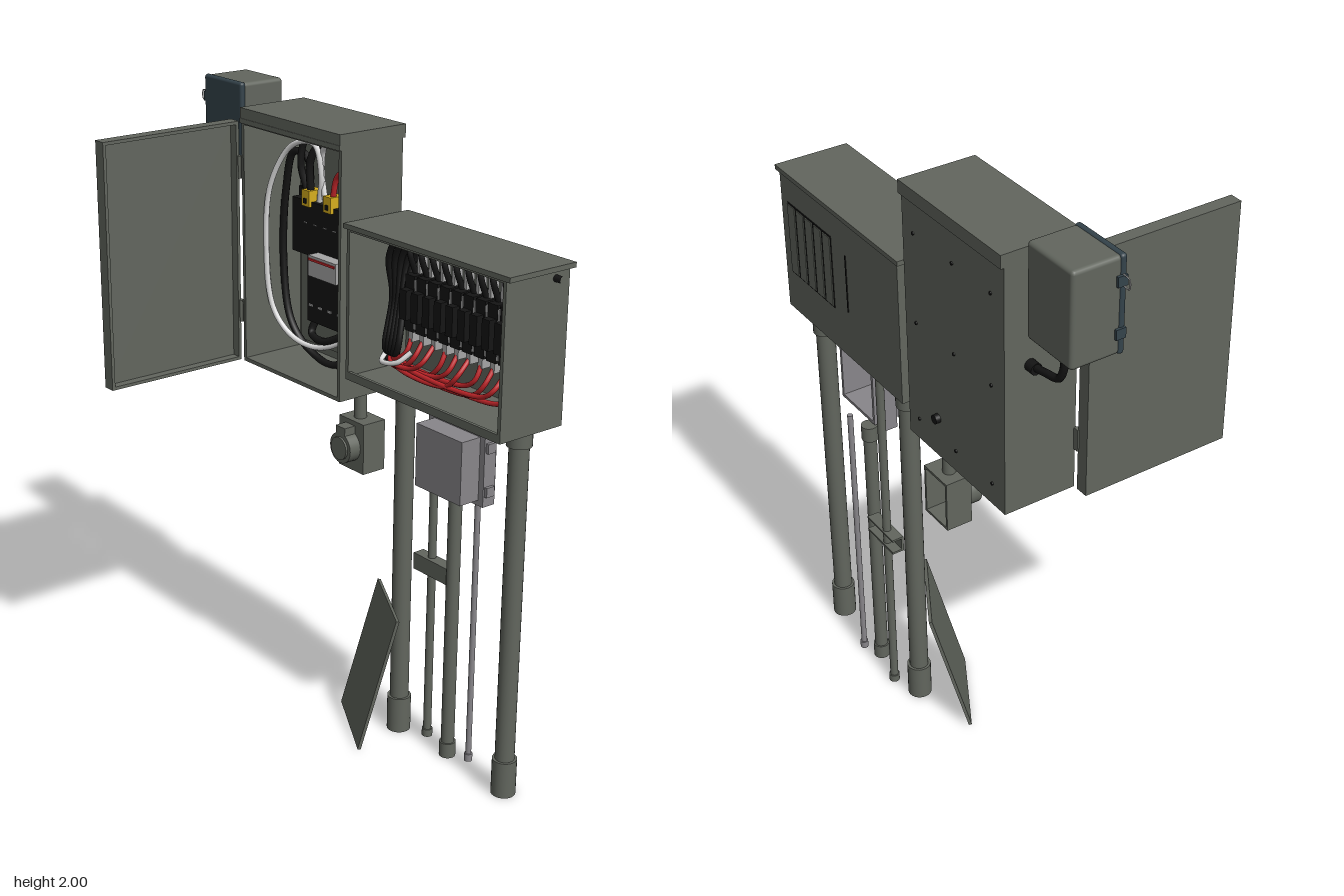
import * as THREE from 'three';
import { RoundedBoxGeometry } from 'three/addons/geometries/RoundedBoxGeometry.js';

const mat = (name, color) => {
  const m = new THREE.MeshStandardMaterial({ color });
  m.name = name;
  return m;
};

export function createModel() {
  const model = new THREE.Group();
  model.name = 'electricalCabinets';
  const steel = mat('paintedSteel', 0x62665e);
  const plastic = mat('greyPlastic', 0x88868a);
  const blue = mat('blueGreyCover', 0x34434b);
  const black = mat('black', 0x151515);
  const white = mat('whiteWire', 0xe2e2e2);
  const red = mat('redWire', 0xc4262a);
  const yellow = mat('yellowTerminal', 0xd6ae1e);
  const silver = mat('silver', 0xa6a6a6);

  const add = (name, geo, m, x = 0, y = 0, z = 0, parent = model) => {
    const mesh = new THREE.Mesh(geo, m);
    mesh.name = name;
    mesh.position.set(x, y, z);
    parent.add(mesh);
    return mesh;
  };
  // box given by its limits on each axis
  const box = (name, m, x0, x1, y0, y1, z0, z1, parent = model) =>
    add(name, new THREE.BoxGeometry(x1 - x0, y1 - y0, z1 - z0), m,
      (x0 + x1) / 2, (y0 + y1) / 2, (z0 + z1) / 2, parent);
  // upright cylinder from y0 to y1
  const pipe = (name, m, x, z, r, y0, y1, seg = 24, parent = model) =>
    add(name, new THREE.CylinderGeometry(r, r, y1 - y0, seg), m, x, (y0 + y1) / 2, z, parent);
  // cylinder lying along z
  const disc = (name, m, x, y, z0, z1, r, parent = model) => {
    const d = add(name, new THREE.CylinderGeometry(r, r, z1 - z0, 24), m, x, y, (z0 + z1) / 2, parent);
    d.rotation.x = Math.PI / 2;
    return d;
  };
  const wire = (name, m, pts, r = 0.009, parent = model) => {
    const curve = new THREE.CatmullRomCurve3(pts.map(p => new THREE.Vector3(...p)));
    return add(name, new THREE.TubeGeometry(curve, pts.length * 8, r, 8), m, 0, 0, 0, parent);
  };
  // five-sided enclosure; open at the front or at the back
  const tray = (name, m, x0, x1, y0, y1, z0, z1, t, openFront) => {
    const g = new THREE.Group();
    g.name = name;
    model.add(g);
    if (openFront) box('backWall', m, x0, x1, y0, y1, z0, z0 + t, g);
    else box('frontWall', m, x0, x1, y0, y1, z1 - t, z1, g);
    box('bottomWall', m, x0, x1, y0, y0 + t, z0, z1, g);
    box('topWall', m, x0, x1, y1 - t, y1, z0, z1, g);
    box('sideWall', m, x0, x0 + t, y0, y1, z0, z1, g);
    box('sideWall', m, x1 - t, x1, y0, y1, z0, z1, g);
    return g;
  };

  // ---- Left cabinet with rain cap ----
  const left = tray('leftCabinet', steel, -0.46, 0.025, 1.13, 1.9, -0.35, -0.12, 0.012, true);
  box('cap', steel, -0.46, 0.025, 1.9, 1.94, -0.36, -0.115, left);
  box('capLip', steel, -0.46, 0.025, 1.893, 1.908, -0.122, -0.113, left);
  box('mountingPlate', steel, -0.43, -0.005, 1.17, 1.87, -0.338, -0.328, left);
  for (const x of [-0.4, -0.22, -0.03])
    for (const y of [1.2, 1.52, 1.8]) disc('backScrew', black, x, y, -0.354, -0.348, 0.005, left);
  disc('knockout', black, -0.13, 1.26, -0.365, -0.348, 0.014, left);

  // ---- Open door, a shallow pan ----
  const door = new THREE.Group();
  door.name = 'door';
  model.add(door);
  box('doorPanel', steel, -0.515, -0.503, 1.13, 1.895, -0.12, 0.365, door);
  box('doorRim', steel, -0.515, -0.474, 1.13, 1.14, -0.12, 0.365, door);
  box('doorRim', steel, -0.515, -0.474, 1.885, 1.895, -0.12, 0.365, door);
  box('doorRim', steel, -0.515, -0.474, 1.13, 1.895, -0.12, -0.11, door);
  box('doorRim', steel, -0.515, -0.474, 1.13, 1.895, 0.355, 0.365, door);
  for (const y of [1.26, 1.72]) {
    box('hingeLeaf', steel, -0.478, -0.455, y, y + 0.07, -0.125, -0.117);
    pipe('hingePin', steel, -0.467, -0.118, 0.007, y, y + 0.07, 12);
  }

  // ---- Contactor assembly ----
  const con = new THREE.Group();
  con.name = 'contactor';
  model.add(con);
  box('upperBody', black, -0.35, -0.09, 1.5, 1.67, -0.33, -0.23, con);
  box('upperFlange', black, -0.38, -0.055, 1.505, 1.55, -0.33, -0.27, con);
  for (const x of [-0.38, -0.07]) box('upperPost', black, x, x + 0.014, 1.53, 1.69, -0.33, -0.28, con);
  box('lowerBody', black, -0.3, -0.1, 1.28, 1.5, -0.33, -0.25, con);
  for (const y of [1.3, 1.41]) box('lowerTab', black, -0.325, -0.085, y, y + 0.025, -0.33, -0.29, con);
  box('relay', silver, -0.22, -0.085, 1.455, 1.52, -0.25, -0.19, con);
  box('relayStripe', red, -0.215, -0.09, 1.505, 1.512, -0.19, -0.186, con);
  for (const x of [-0.29, -0.185]) {
    box('terminal', yellow, x, x + 0.037, 1.655, 1.705, -0.27, -0.22, con);
    box('terminalScrew', black, x + 0.012, x + 0.025, 1.665, 1.68, -0.22, -0.216, con);
  }
  for (let i = 0; i < 4; i++) {
    const x = -0.29 + i * 0.047;
    box('screwSlot', silver, x, x + 0.015, 1.6, 1.603, -0.23, -0.227, con);
    box('lowerScrew', silver, x, x + 0.018, 1.33, 1.337, -0.25, -0.246, con);
  }

  // ---- Wires of the left cabinet ----
  const leftWires = new THREE.Group();
  leftWires.name = 'leftWires';
  model.add(leftWires);
  const lw = (m, pts, r) => wire('leftWire', m, pts, r, leftWires);
  lw(white, [[-0.21, 1.67, -0.25], [-0.23, 1.78, -0.25], [-0.2, 1.85, -0.24], [-0.07, 1.855, -0.22], [0.0, 1.8, -0.21],
    [-0.005, 1.62, -0.21], [-0.06, 1.46, -0.22], [-0.08, 1.32, -0.24], [-0.04, 1.25, -0.27], [0.03, 1.25, -0.29]]);
  lw(white, [[-0.24, 1.67, -0.25], [-0.22, 1.76, -0.24], [-0.24, 1.85, -0.23], [-0.34, 1.83, -0.22], [-0.42, 1.7, -0.2],
    [-0.445, 1.5, -0.2], [-0.425, 1.3, -0.21], [-0.36, 1.22, -0.23], [-0.26, 1.2, -0.25], [-0.16, 1.24, -0.27], [-0.12, 1.31, -0.3]]);
  lw(black, [[-0.31, 1.67, -0.27], [-0.325, 1.79, -0.27], [-0.38, 1.8, -0.26], [-0.42, 1.68, -0.26],
    [-0.435, 1.45, -0.26], [-0.4, 1.26, -0.26], [-0.33, 1.18, -0.27], [-0.2, 1.15, -0.28], [-0.15, 1.2, -0.3], [-0.14, 1.29, -0.31]], 0.012);
  lw(black, [[-0.27, 1.69, -0.24], [-0.27, 1.8, -0.24], [-0.22, 1.865, -0.26], [-0.08, 1.82, -0.26], [-0.02, 1.78, -0.26],
    [-0.035, 1.6, -0.26], [-0.09, 1.42, -0.27], [-0.1, 1.3, -0.28], [-0.05, 1.23, -0.29], [0.03, 1.24, -0.3]], 0.012);
  lw(black, [[-0.3, 1.69, -0.25], [-0.32, 1.78, -0.24], [-0.3, 1.86, -0.25], [-0.13, 1.865, -0.28], [-0.04, 1.83, -0.3],
    [-0.02, 1.68, -0.3], [-0.06, 1.5, -0.3], [-0.06, 1.35, -0.3]], 0.011);
  lw(black, [[-0.28, 1.3, -0.28], [-0.29, 1.24, -0.26], [-0.22, 1.23, -0.25], [-0.13, 1.27, -0.27]], 0.012);
  lw(red, [[-0.165, 1.69, -0.24], [-0.14, 1.77, -0.24], [-0.07, 1.8, -0.24], [-0.015, 1.78, -0.24], [-0.02, 1.62, -0.24],
    [-0.07, 1.46, -0.25], [-0.095, 1.33, -0.27], [-0.03, 1.24, -0.29], [0.03, 1.255, -0.28]]);
  disc('groundLug', silver, -0.13, 1.29, -0.33, -0.27, 0.025, leftWires);

  // ---- Right cabinet with overhanging lid ----
  const right = tray('rightCabinet', steel, 0.047, 0.712, 1.21, 1.675, -0.36, -0.125, 0.012, true);
  box('lid', steel, 0.037, 0.73, 1.67, 1.685, -0.365, -0.12, right);
  box('bottomLip', steel, 0.047, 0.712, 1.21, 1.235, -0.135, -0.125, right);
  for (let i = 0; i < 5; i++) {
    const x = 0.42 + i * 0.052;
    box('slotShadow', black, x - 0.003, x + 0.045, 1.345, 1.585, -0.362, -0.359, right);
    box('slotPlate', steel, x, x + 0.042, 1.35, 1.58, -0.365, -0.36, right);
  }
  box('slotShadow', black, 0.335, 0.34, 1.37, 1.56, -0.362, -0.359, right);
  const nipple = pipe('cabinetNipple', black, 0.035, -0.29, 0.032, 1.235, 1.3);
  nipple.rotation.z = Math.PI / 2;

  // ---- Row of breakers, each with a feed and a red wire ----
  const breakers = new THREE.Group();
  breakers.name = 'breakers';
  model.add(breakers);
  box('rail', silver, 0.14, 0.68, 1.42, 1.47, -0.348, -0.335, breakers);
  for (let i = 0; i < 10; i++) {
    const x = 0.185 + i * 0.05;
    box('breakerBody', black, x - 0.021, x + 0.019, 1.37, 1.54, -0.34, -0.25, breakers);
    box('breakerNose', black, x - 0.017, x + 0.013, 1.41, 1.5, -0.25, -0.225, breakers);
    box('breakerSide', silver, x + 0.02, x + 0.027, 1.38, 1.53, -0.34, -0.25, breakers);
    box('upperClip', silver, x - 0.004, x + 0.008, 1.54, 1.62, -0.31, -0.28, breakers);
    box('lowerClip', silver, x - 0.014, x + 0.004, 1.335, 1.37, -0.3, -0.26, breakers);
    wire('feedWire', black, [[x - 0.01, 1.54, -0.28], [x - 0.014, 1.6, -0.26], [x - 0.03, 1.64, -0.27], [x - 0.07, 1.65, -0.3]], 0.009, breakers);
    const z = -0.25 + (i % 3) * 0.012;
    wire('loadWire', red, [[x - 0.006, 1.35, -0.27], [x - 0.012, 1.3, z], [x - 0.06, 1.27 - (i % 2) * 0.012, z],
      [0.1 + i * 0.012, 1.26 - (i % 2) * 0.01, z - 0.01], [0.06, 1.265, -0.29]], 0.0075, breakers);
  }
  for (let i = 0; i < 5; i++) {
    const o = i * 0.014;
    wire('feedBundle', black, [[0.06, 1.26, -0.29], [0.09 + o, 1.3, -0.24], [0.085 + o, 1.45, -0.27],
      [0.09 + o, 1.58, -0.25 - o], [0.15 + o, 1.65 - o * 0.4, -0.25 - o], [0.4, 1.65 - o * 0.3, -0.27 - o], [0.66, 1.65, -0.3]], 0.01, breakers);
  }
  wire('exitWire', black, [[0.6, 1.65, -0.3], [0.68, 1.647, -0.305], [0.735, 1.645, -0.31]], 0.011, breakers);
  wire('neutralWire', white, [[0.06, 1.27, -0.27], [0.1, 1.26, -0.22], [0.17, 1.275, -0.22], [0.2, 1.31, -0.25]], 0.008, breakers);

  // ---- Support posts and conduits with end couplings ----
  const post = (name, m, x, z, r, top, rc, bottomH, topH) => {
    const g = new THREE.Group();
    g.name = name;
    model.add(g);
    pipe('tube', m, x, z, r, 0.004, top, 24, g);
    pipe('footCoupling', m, x, z, rc, 0, bottomH, 24, g);
    if (topH) pipe('topCoupling', m, x, z, rc, top - topH, top, 24, g);
  };
  for (const x of [0.127, 0.617]) post('supportPost', steel, x, -0.294, 0.03, 1.212, 0.038, 0.12, 0.075);
  post('mediumConduit', steel, 0.35, -0.305, 0.021, 0.94, 0.026, 0.05, 0.05);
  post('thinConduit', steel, 0.22, -0.335, 0.013, 1.215, 0.017, 0.025, 0);
  post('slimConduit', plastic, 0.415, -0.335, 0.009, 0.95, 0.013, 0.025, 0);

  // ---- Conduit bracket, an open channel ----
  box('bracketWeb', steel, 0.16, 0.31, 0.58, 0.625, -0.32, -0.312);
  for (const y of [0.575, 0.622]) box('bracketFlange', steel, 0.16, 0.31, y, y + 0.007, -0.352, -0.312);

  // ---- Grey junction box, open at the back ----
  const junction = tray('junctionBox', plastic, 0.325, 0.52, 0.95, 1.145, -0.3, -0.165, 0.01, false);
  box('flangeLower', plastic, 0.3, 0.54, 0.933, 0.955, -0.28, -0.235, junction);
  box('flangeUpper', plastic, 0.3, 0.54, 1.14, 1.162, -0.28, -0.235, junction);
  for (const x of [0.3, 0.515]) box('flangeSide', plastic, x, x + 0.025, 0.94, 1.155, -0.28, -0.235, junction);
  for (const y of [0.965, 1.1]) box('latch', plastic, 0.535, 0.55, y, y + 0.03, -0.27, -0.24, junction);

  // ---- Outlet under the left cabinet ----
  const outlet = tray('outletBox', steel, -0.13, -0.01, 0.85, 1.015, -0.33, -0.245, 0.008, false);
  pipe('outletNeck', steel, -0.075, -0.285, 0.02, 1.01, 1.135, 24, outlet);
  disc('outletCover', steel, -0.075, 0.93, -0.245, -0.205, 0.05, outlet);
  disc('outletCap', steel, -0.075, 0.93, -0.205, -0.198, 0.037, outlet);
  box('outletHinge', steel, -0.097, -0.053, 0.965, 1.0, -0.245, -0.205, outlet);

  // ---- Small box on the far side, with its cable ----
  const small = new THREE.Group();
  small.name = 'meterBox';
  model.add(small);
  add('meterBody', new RoundedBoxGeometry(0.192, 0.282, 0.15, 2, 0.012), steel, -0.611, 1.857, -0.246, small);
  add('meterCover', new RoundedBoxGeometry(0.196, 0.286, 0.02, 3, 0.009), blue, -0.611, 1.857, -0.168, small);
  for (const y of [1.78, 1.93]) box('coverCatch', blue, -0.715, -0.705, y - 0.015, y + 0.015, -0.19, -0.16, small);
  wire('catchWire', silver, [[-0.707, 1.945, -0.17], [-0.737, 1.943, -0.173], [-0.737, 1.917, -0.173], [-0.707, 1.915, -0.17]], 0.002, small);
  pipe('cableGland', black, -0.612, -0.27, 0.018, 1.69, 1.718, 12, small);
  wire('meterCable', black, [[-0.613, 1.7, -0.27], [-0.607, 1.65, -0.27], [-0.588, 1.615, -0.27], [-0.53, 1.6, -0.27], [-0.46, 1.588, -0.27]], 0.011, small);
  const gland = pipe('cableGland', black, -0.475, -0.27, 0.018, 1.573, 1.603, 12, small);
  gland.rotation.z = Math.PI / 2;

  // ---- Loose cover leaning against the post ----
  const cover = add('leaningCover', new THREE.BoxGeometry(0.307, 0.458, 0.01), steel, 0.0575, 0.2245, -0.225);
  cover.rotation.set(-0.257, -0.507, 0, 'YXZ');

  return model;
}
